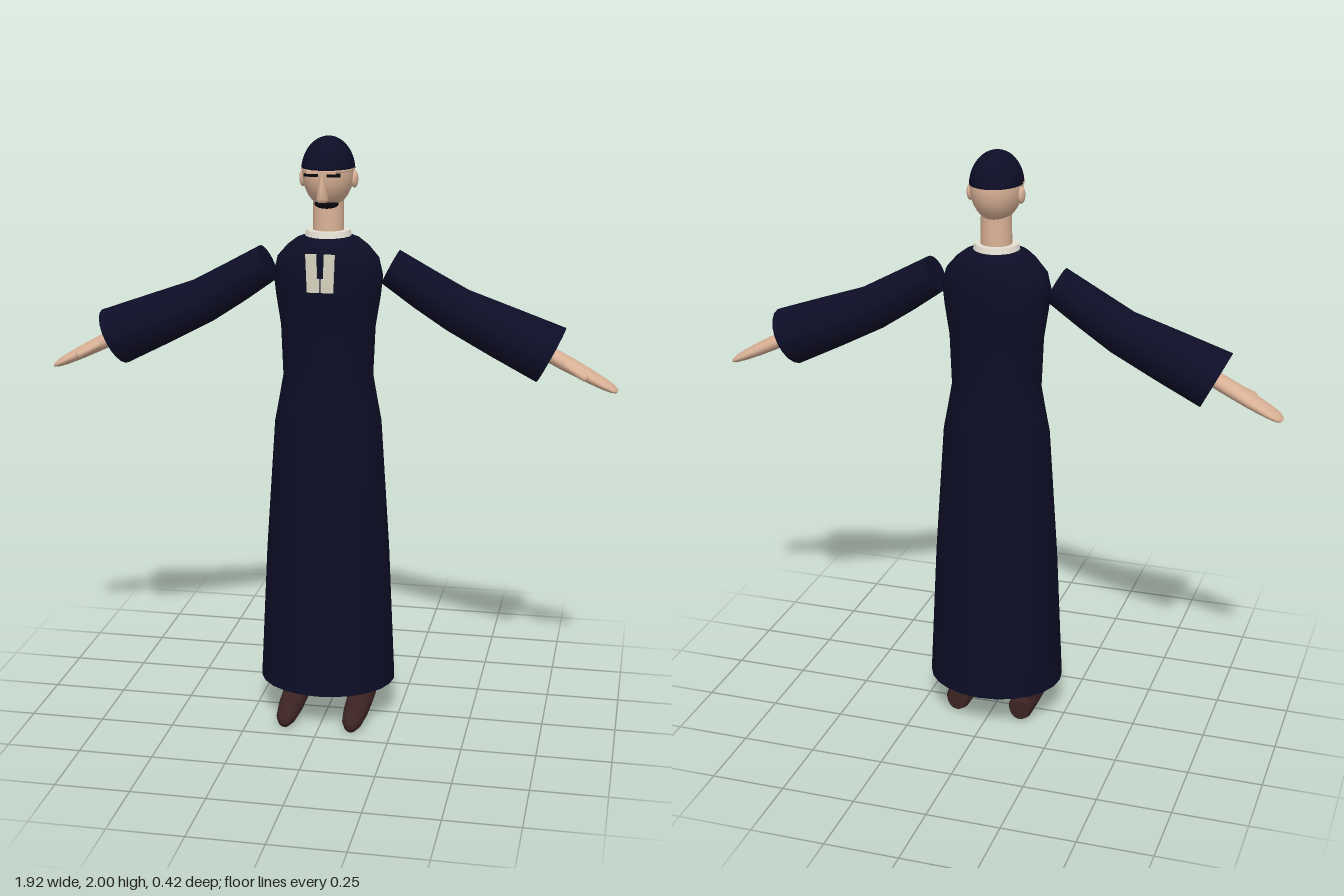
import * as THREE from 'three';

const mat = (name, color) => {
  const m = new THREE.MeshStandardMaterial({ color });
  m.name = name;
  return m;
};

// Closed skin through elliptical rings [y, radiusX, radiusZ, centreX, centreZ]
function loft(rings, n = 20) {
  const pos = [], idx = [];
  const ring = ([y, rx, rz, cx = 0, cz = 0]) => {
    const start = pos.length / 3;
    for (let i = 0; i < n; i++) {
      const a = (i / n) * Math.PI * 2;
      pos.push(cx + rx * Math.cos(a), y, cz + rz * Math.sin(a));
    }
    return start;
  };
  const starts = rings.map(ring);
  for (let k = 0; k < starts.length - 1; k++) {
    for (let i = 0; i < n; i++) {
      const j = (i + 1) % n, a = starts[k], b = starts[k + 1];
      idx.push(a + i, b + i, a + j, a + j, b + i, b + j);
    }
  }
  // end caps with their own vertices, so the rims stay sharp
  [rings[0], rings[rings.length - 1]].forEach((r, top) => {
    const s = ring(r), c = pos.length / 3;
    pos.push(r[3] || 0, r[0], r[4] || 0);
    for (let i = 0; i < n; i++) {
      const j = (i + 1) % n;
      if (top) idx.push(c, s + j, s + i);
      else idx.push(c, s + i, s + j);
    }
  });
  const g = new THREE.BufferGeometry();
  g.setAttribute('position', new THREE.Float32BufferAttribute(pos, 3));
  g.setIndex(idx);
  g.computeVertexNormals();
  return g;
}

export function createModel() {
  const navy = mat('navy cloth', 0x0d0d26);
  const skin = mat('skin', 0xd9b196);
  const brown = mat('brown leather', 0x3c2323);
  const white = mat('collar white', 0xe4dfd2);
  const cream = mat('cream cloth', 0xd6d2be);
  const black = mat('black hair', 0x08080c);

  const model = new THREE.Group();
  const add = (name, geo, material, x = 0, y = 0, z = 0, parent = model) => {
    const m = new THREE.Mesh(geo, material);
    m.name = name;
    m.position.set(x, y, z);
    parent.add(m);
    return m;
  };
  const ellipsoid = (rx, ry, rz, theta = Math.PI) =>
    new THREE.SphereGeometry(1, 28, 18, 0, Math.PI * 2, 0, theta).scale(rx, ry, rz);

  // Robe: skirt, waist, chest and rounded shoulders
  add('robe', loft([
    [0.13, 0.233, 0.207], [0.6, 0.211, 0.18], [1.05, 0.181, 0.147],
    [1.13, 0.166, 0.132], [1.21, 0.152, 0.118], [1.38, 0.159, 0.118],
    [1.48, 0.175, 0.119], [1.55, 0.183, 0.12], [1.605, 0.17, 0.116],
    [1.645, 0.135, 0.108], [1.668, 0.105, 0.098], [1.685, 0.06, 0.06],
  ], 24), navy);

  // Collar and neck
  add('collar', new THREE.CylinderGeometry(0.072, 0.08, 0.032, 28), white, 0, 1.681, 0);
  add('neck', new THREE.CylinderGeometry(0.05, 0.052, 0.13, 24), skin, 0, 1.735, -0.003);

  // Two chest tabs, notched along the inner top edge
  for (const s of [-1, 1]) {
    const tab = new THREE.Shape([
      [0.003, 1.51], [0.043, 1.51], [0.048, 1.635], [0.013, 1.635], [0.01, 1.555], [0.003, 1.555],
    ].map(([x, y]) => new THREE.Vector2(s * x, y)));
    add(s > 0 ? 'leftChestTab' : 'rightChestTab',
      new THREE.ExtrudeGeometry(tab, { depth: 0.009, bevelEnabled: false }), cream, -0.003, 0, 0.121);
  }

  // Head with cap and face
  const head = new THREE.Group();
  head.name = 'head';
  model.add(head);
  add('skull', ellipsoid(0.084, 0.115, 0.104), skin, 0, 1.885, 0, head);
  add('cap', ellipsoid(0.087, 0.112, 0.108, 1.5), navy, 0, 1.888, 0, head).material.side = THREE.DoubleSide;
  const rim = new THREE.TorusGeometry(1, 0.04, 8, 32, Math.PI).rotateX(Math.PI / 2).scale(0.085, 0.1, 0.107);
  add('capBand', rim, skin, 0, 1.897, 0, head);
  add('browRidge', new THREE.BoxGeometry(0.095, 0.008, 0.022), skin, 0, 1.897, 0.115, head);
  // Nose: a wedge, wide and deep at its lower end
  add('nose', loft([
    [1.8, 0.016, 0.02, 0, 0.1], [1.812, 0.02, 0.029, 0, 0.102],
    [1.85, 0.013, 0.024, 0, 0.1], [1.893, 0.007, 0.016, 0, 0.1],
  ], 12), skin, 0, 0, 0, head);
  add('chinBeard', ellipsoid(0.04, 0.016, 0.037), black, 0, 1.785, 0.03, head);
  for (const s of [-1, 1]) {
    const side = s > 0 ? 'left' : 'right';
    add(side + 'Eyebrow', new THREE.BoxGeometry(0.044, 0.009, 0.024), black, s * 0.036, 1.886, 0.098, head)
      .rotation.y = s * 0.25;
    add(side + 'Ear', ellipsoid(0.012, 0.028, 0.02), skin, s * 0.085, 1.862, -0.008, head);
  }

  for (const s of [-1, 1]) {
    const side = s > 0 ? 'left' : 'right';

    // Arm: local +y runs from the shoulder to the fingertips
    const arm = new THREE.Group();
    arm.name = side + 'Arm';
    arm.position.set(s * 0.206, 1.578, -0.012);
    arm.rotation.z = -s * 2.042;
    model.add(arm);
    add(side + 'Sleeve', loft([
      [0, 0.062, 0.068], [0.13, 0.07, 0.068, s * 0.012],
      [0.26, 0.076, 0.069, s * 0.021, -0.003], [0.43, 0.089, 0.09, s * 0.011, 0.003],
      [0.597, 0.1, 0.107, 0, 0.008],
    ]), navy, 0, 0, 0, arm);
    add(side + 'Hand', loft([
      [0.55, 0.026, 0.034], [0.65, 0.025, 0.04], [0.73, 0.022, 0.044], [0.79, 0.017, 0.043],
      [0.825, 0.012, 0.036], [0.84, 0.006, 0.022], [0.844, 0.001, 0.004],
    ]), skin, 0, 0, 0.01, arm);
    const thumb = add(side + 'Thumb', new THREE.CapsuleGeometry(0.012, 0.07, 5, 12), skin, 0, 0.69, 0.053, arm);
    thumb.rotation.x = 0.3;

    // Leg and tapered shoe: the shoe is lofted from heel to toe
    add(side + 'Leg', new THREE.CylinderGeometry(0.045, 0.045, 0.16, 20), brown, s * 0.115, 0.15, -0.042);
    const shoe = loft([
      [-0.1, 0.034, 0.036, 0, -0.042], [-0.085, 0.043, 0.046, 0, -0.047],
      [0.0, 0.045, 0.047, 0, -0.047], [0.1, 0.042, 0.037, 0, -0.037],
      [0.17, 0.034, 0.03, 0, -0.03], [0.2, 0.022, 0.022, 0, -0.026], [0.208, 0.01, 0.01, 0, -0.026],
    ]).rotateX(Math.PI / 2);
    add(side + 'Shoe', shoe, brown, s * 0.115, 0, 0);
  }

  return model;
}
